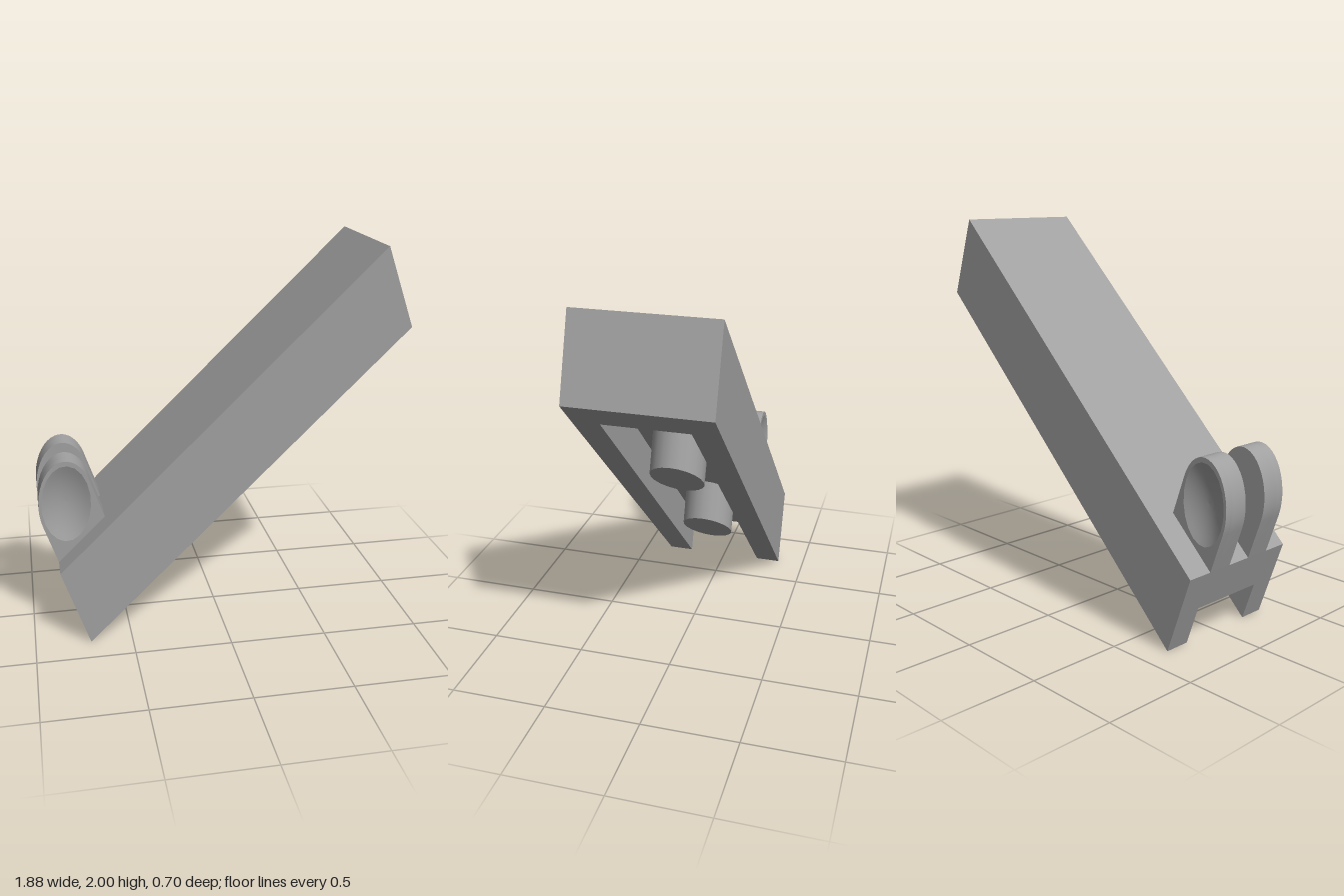
import * as THREE from 'three';
import { toCreasedNormals } from 'three/addons/utils/BufferGeometryUtils.js';

// Everything is modelled as an upright block (x length, y height, z width)
// and then slanted into its leaning pose.
const L = 1.89, H = 0.285, W = 0.35;      // length, height, half width
const ROOF = H / 2;                       // height of the channel ceiling
const CHANNEL = 0.213, R = 0.14;          // channel half width, round radius
const slant = new THREE.Matrix4().makeBasis(
  new THREE.Vector3(1.655 / L, 1.6 / L, 0),
  new THREE.Vector3(-0.14 / H, 0.405 / H, 0),
  new THREE.Vector3(0, 0, 1)
).setPosition(-0.715, 0, 0);

export function createModel() {
  const model = new THREE.Group();
  const grey = new THREE.MeshStandardMaterial({ color: 0xa0a0a0 });
  grey.name = 'light grey';

  const add = (name, geometry, parent = model) => {
    const mesh = new THREE.Mesh(geometry.applyMatrix4(slant), grey);
    mesh.name = name;
    parent.add(mesh);
  };
  const extrude = (shape, depth) => toCreasedNormals(
    new THREE.ExtrudeGeometry(shape, { depth, bevelEnabled: false, curveSegments: 10 }), 0.6);

  // Solid upper half of the block
  add('upperBody', new THREE.BoxGeometry(L, H - ROOF, 2 * W).translate(L / 2, (H + ROOF) / 2, 0));

  // Lower half: walls around a channel that is open at the low end
  const end = 0.925 * L;
  const walls = new THREE.Shape([
    [0, -W], [L, -W], [L, W], [0, W],
    [0, CHANNEL], [end, CHANNEL], [end, -CHANNEL], [0, -CHANNEL],
  ].map(([x, y]) => new THREE.Vector2(x, y)));
  add('channelWalls', extrude(walls, ROOF).rotateX(-Math.PI / 2));

  // Two pegs hanging from the channel ceiling
  for (const a of [0.26, 0.63]) {
    add('peg', new THREE.CylinderGeometry(R, R, ROOF, 20).translate(a * L, ROOF / 2, 0));
  }

  // Round-topped ear outline, centred on its arc
  const earShape = () => {
    const s = new THREE.Shape();
    s.moveTo(-R, -ROOF);
    s.lineTo(R, -ROOF);
    s.lineTo(R, 0);
    s.absarc(0, 0, R, 0, Math.PI, false);
    s.lineTo(-R, -ROOF);
    return s;
  };
  const bowlR = 0.125, bowlD = 0.04;

  // Pair of ears with a shallow bowl on each outer face
  for (const [name, turn] of [['leftEar', 0], ['rightEar', Math.PI]]) {
    const ear = new THREE.Group();
    ear.name = name;
    model.add(ear);
    const place = (g) => g.rotateY(turn).translate(R, H + ROOF, 0);

    add('earCore', place(extrude(earShape(), 0.095).translate(0, 0, 0.07)), ear);

    const rim = earShape();
    rim.holes.push(new THREE.Path().absarc(0, 0, bowlR, 0, Math.PI * 2, true));
    add('earRim', place(extrude(rim, 0.045).translate(0, 0, 0.165)), ear);

    const profile = [];
    for (let i = 0; i <= 6; i++) {
      const r = bowlR * (1 - i / 6);
      profile.push(new THREE.Vector2(r, -bowlD * (1 - (r / bowlR) ** 2)));
    }
    add('earBowl', place(new THREE.LatheGeometry(profile, 20)
      .rotateX(Math.PI / 2).translate(0, 0, 0.21)), ear);
  }
  return model;
}
